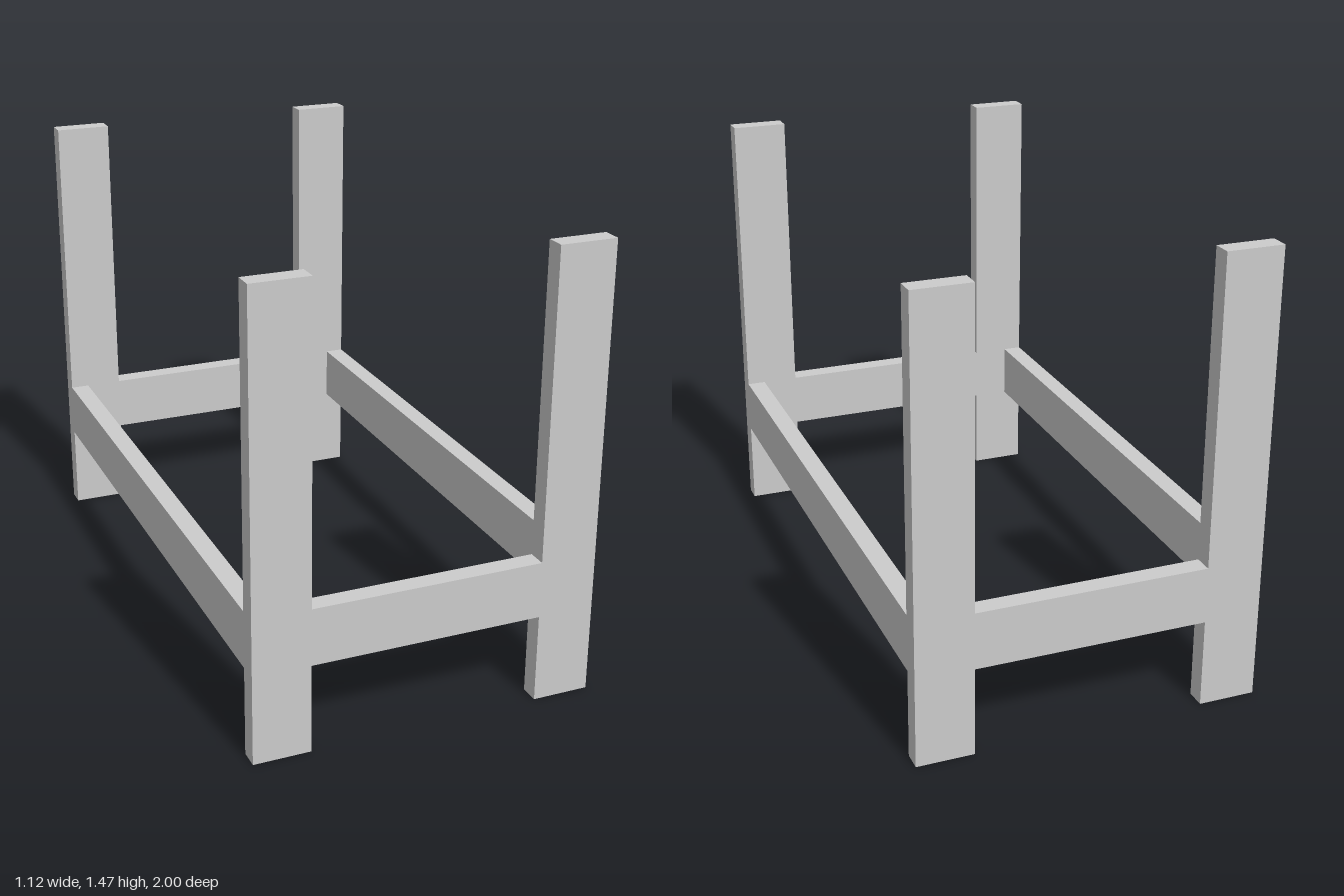
import * as THREE from 'three';

export function createModel() {
  const group = new THREE.Group();
  const material = new THREE.MeshStandardMaterial({ color: 0xcccccc });

  const halfWidth = 0.56, halfLength = 1, height = 1.47;
  const board = 0.185, thick = 0.063; // plank width and thickness
  const railY = 0.383;

  function plank(name, w, h, d, x, y, z) {
    const mesh = new THREE.Mesh(new THREE.BoxGeometry(w, h, d), material);
    mesh.name = name;
    mesh.position.set(x, y, z);
    group.add(mesh);
  }

  for (const s of [-1, 1]) {
    const endZ = s * (halfLength - thick / 2);

    // Two upright posts at each end
    for (const side of [-1, 1]) {
      plank((s > 0 ? 'front' : 'back') + (side > 0 ? 'Left' : 'Right') + 'Post',
        board, height, thick, side * (halfWidth - board / 2), height / 2, endZ);
    }

    // Cross rail between the posts, flush with their faces
    plank(s > 0 ? 'frontRail' : 'backRail',
      2 * (halfWidth - board), board, thick, 0, railY, endZ);

    // Long rail running between the end frames
    plank(s > 0 ? 'leftSideRail' : 'rightSideRail',
      thick, board, 2 * (halfLength - thick), s * (halfWidth - thick / 2), railY, 0);
  }

  return group;
}
